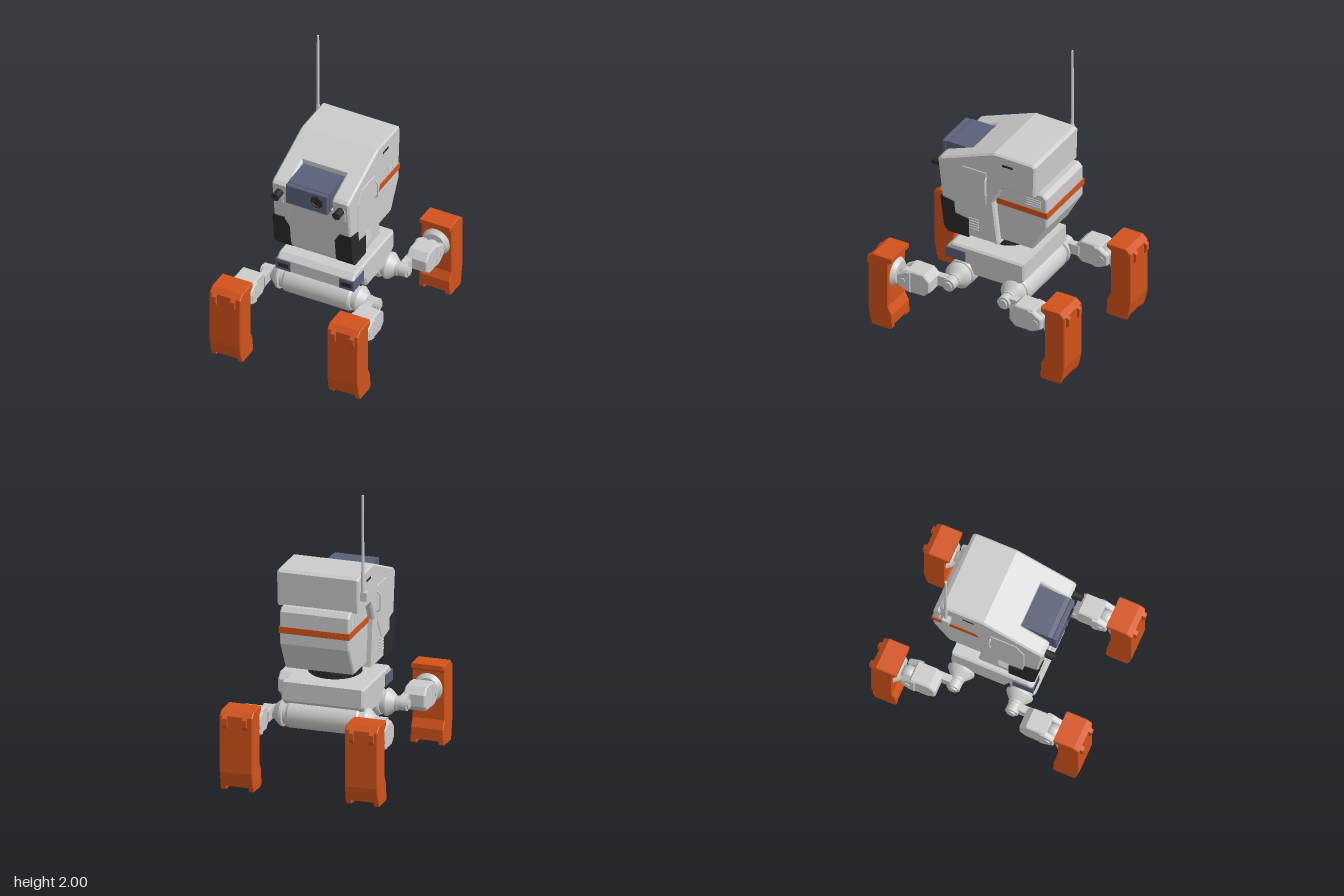
import * as THREE from 'three';

const mat = (color) => new THREE.MeshStandardMaterial({ color });
const GREY = mat(0xcccccc), ORANGE = mat(0xd2521a), BLUE = mat(0x5a6078), BLACK = mat(0x2a2a2a);

function add(parent, name, geometry, material = GREY, x = 0, y = 0, z = 0) {
  const mesh = new THREE.Mesh(geometry, material);
  mesh.name = name;
  mesh.position.set(x, y, z);
  parent.add(mesh);
  return mesh;
}
const box = (w, h, d) => new THREE.BoxGeometry(w, h, d);
const cylX = (r, len, n = 28) => new THREE.CylinderGeometry(r, r, len, n).rotateZ(Math.PI / 2);
const cylZ = (r, len, n = 28) => new THREE.CylinderGeometry(r, r, len, n).rotateX(Math.PI / 2);

// Side profile of [z, y] points, extruded across from x0 to x1 with a small chamfer
function slab(points, x0, x1, b = 0) {
  const shape = new THREE.Shape(points.map(([z, y]) => new THREE.Vector2(z, y)));
  return new THREE.ExtrudeGeometry(shape, {
    depth: x1 - x0 - 2 * b, bevelEnabled: b > 0, bevelThickness: b, bevelSize: b, bevelOffset: -b, bevelSegments: 1,
  }).rotateY(-Math.PI / 2).translate(x1 - b, 0, 0);
}

function createHead() {
  const head = new THREE.Group();
  head.name = 'head';
  const back = [[0.29, 0.73], [-0.09, 0.73], [-0.05, 1.05], [-0.11, 1.17], [-0.13, 1.185], [-0.36, 1.19],
    [-0.367, 1.42], [-0.345, 1.437], [-0.055, 1.44]];
  const sideProfile = [[0.31, 0.76], ...back, [0.35, 1.278], [0.37, 1.26]];
  // the middle is notched for the camera
  add(head, 'headCentre', slab([[0.31, 0.76], ...back, [0.16, 1.354], [0.16, 1.18], [0.36, 1.18]], -0.172, 0.172));

  // camera: housing with a round opening in its front frame
  add(head, 'cameraHousing', slab([[0.15, 1.17], [0.38, 1.17], [0.38, 1.315], [0.35, 1.32], [0.15, 1.32]], -0.155, 0.15), BLUE);
  const frame = new THREE.Shape([[-0.155, 1.165], [0.15, 1.165], [0.15, 1.315], [-0.155, 1.315]].map((p) => new THREE.Vector2(...p)));
  frame.holes.push(new THREE.Path().absarc(0.07, 1.245, 0.043, 0, Math.PI * 2, true));
  add(head, 'cameraFrame', new THREE.ExtrudeGeometry(frame, {
    depth: 0.022, bevelThickness: 0.006, bevelSize: 0.006, bevelOffset: -0.006, bevelSegments: 1, curveSegments: 20,
  }), BLUE, 0, 0, 0.385);
  add(head, 'lensRing', new THREE.TorusGeometry(0.04, 0.007, 8, 28), BLACK, 0.07, 1.245, 0.408);
  add(head, 'lens', cylZ(0.04, 0.02), BLACK, 0.07, 1.245, 0.385);

  for (const s of [-1, 1]) {
    const span = (a, b) => (s > 0 ? [a, b] : [-b, -a]);
    add(head, 'headSide', slab(sideProfile, ...span(0.16, 0.283), 0.012));
    add(head, 'sidePanel', slab([[0.24, 0.885], [0.085, 0.885], [0, 1.02], [0, 1.27], [0.18, 1.27], [0.24, 1.18]],
      ...span(0.27, 0.288), 0.004));

    // dark corner guard, its inner top corner cut off
    const guard = slab([[0.343, 0.985], [0.24, 0.965], [0.23, 0.88], [0.13, 0.865], [0.13, 0.725], [0.287, 0.725],
      [0.316, 0.76], [0.336, 0.92]], ...span(0.165, 0.29));
    const p = guard.attributes.position;
    for (let i = 0; i < p.count; i++) {
      if (Math.abs(p.getX(i)) < 0.2) p.setX(i, s * (0.165 + Math.max(0, p.getY(i) - 0.92) * 0.6));
    }
    guard.computeVertexNormals();
    add(head, 'cornerGuard', guard, BLACK);

    // lamp on a tilted pill-shaped mount
    const mount = add(head, 'lampMount', new THREE.CapsuleGeometry(0.03, 0.075, 6, 16).scale(1, 1, 0.25), GREY, s * 0.23, 1.155, 0.358);
    mount.rotation.x = 0.117;
    add(head, 'lamp', cylZ(0.027, 0.08, 20), BLACK, s * 0.225, 1.198, 0.39);
    add(head, 'lampRim', new THREE.TorusGeometry(0.024, 0.005, 6, 20), BLACK, s * 0.225, 1.198, 0.43);

    // grab handle
    const path = new THREE.CatmullRomCurve3([[0.28, 1.09], [0.303, 1.105], [0.308, 1.16], [0.303, 1.215], [0.28, 1.23]]
      .map(([x, y]) => new THREE.Vector3(s * x, y, 0)));
    add(head, 'handle', new THREE.TubeGeometry(path, 20, 0.006, 8));

    // vents and slot
    for (let i = 0; i < 5; i++) add(head, 'sideVent', box(0.008, 0.009, 0.075), GREY, s * 0.284, 0.795 + i * 0.02, 0.093);
    add(head, 'sideSlot', box(0.006, 0.016, 0.078), BLACK, s * 0.282, 1.367, -0.16);
    for (let i = 0; i < 4; i++) {
      for (const z of [-0.305, -0.363]) add(head, 'packVent', box(0.008, 0.01, 0.05), GREY, s * 0.241, 1.095 + i * 0.017, z);
    }
  }

  // rear pack with its coloured band
  add(head, 'rearPack', slab([[-0.05, 0.75], [-0.32, 0.75], [-0.43, 0.95], [-0.43, 1.17], [-0.4, 1.2], [-0.05, 1.18]], -0.24, 0.24, 0.01));
  add(head, 'packBand', slab([[-0.055, 1.03], [-0.437, 1.025], [-0.437, 1.068], [-0.055, 1.072]], -0.245, 0.245), ORANGE);

  // aerial
  add(head, 'aerialBracket', box(0.05, 0.06, 0.05), GREY, -0.303, 1.3, -0.305);
  add(head, 'aerialBase', new THREE.CylinderGeometry(0.011, 0.015, 0.2, 14), GREY, -0.297, 1.37, -0.315);
  add(head, 'aerial', new THREE.CylinderGeometry(0.008, 0.01, 0.54, 12), GREY, -0.297, 1.73, -0.315);
  return head;
}

function createBase() {
  const base = new THREE.Group();
  base.name = 'base';
  // turntable with teeth round its rim
  for (const [r, h, y] of [[0.115, 0.12, 0.68], [0.168, 0.05, 0.675], [0.178, 0.018, 0.706]]) {
    add(base, 'turntable', new THREE.CylinderGeometry(r, r, h, 40), BLACK, 0, y, -0.015);
  }
  for (let i = 0; i < 20; i++) {
    const a = (i / 20) * Math.PI * 2;
    const tooth = add(base, 'turntableTooth', box(0.03, 0.035, 0.024), BLACK, 0.167 * Math.sin(a), 0.675, -0.015 + 0.167 * Math.cos(a));
    tooth.rotation.y = a;
  }
  add(base, 'chassis', slab([[0.26, 0.632], [0.298, 0.6], [0.298, 0.515], [0.13, 0.5], [0.1, 0.43], [-0.19, 0.43],
    [-0.28, 0.505], [-0.28, 0.632]], -0.283, 0.283, 0.012));
  for (const s of [-1, 1]) {
    add(base, 'headlightBlock', box(0.11, 0.075, 0.148), BLUE, s * 0.234, 0.556, 0.23);
    add(base, 'headlightSlot', box(0.08, 0.03, 0.006), BLACK, s * 0.232, 0.556, 0.304);
  }
  // hip rollers, turned about x
  const half = [[0.095, 0.235], [0.086, 0.25], [0.078, 0.252], [0.078, 0.275], [0.093, 0.28], [0.093, 0.295],
    [0.08, 0.312], [0.05, 0.345], [0.05, 0.36], [0, 0.36]];
  const profile = [...half.map(([r, x]) => [r, -x]).reverse(), ...half].map((q) => new THREE.Vector2(...q));
  for (const z of [-0.208, 0.208]) {
    const geo = new THREE.LatheGeometry(profile, 36).rotateZ(-Math.PI / 2).toNonIndexed();
    const roller = add(base, 'hipRoller', geo, GREY, 0, 0.395, z);
    roller.geometry = creased(geo);
  }
  return base;
}

// Lathe surface with flat bands along its axis but round about it
function creased(geo) {
  const p = geo.attributes.position, n = geo.attributes.normal;
  const a = new THREE.Vector3(), b = new THREE.Vector3(), c = new THREE.Vector3();
  for (let i = 0; i < p.count; i += 3) {
    a.fromBufferAttribute(p, i); b.fromBufferAttribute(p, i + 1); c.fromBufferAttribute(p, i + 2);
    const f = b.clone().sub(a).cross(c.clone().sub(a)).normalize();
    const radial = Math.hypot(f.y, f.z);
    [a, b, c].forEach((v, k) => {
      const r = Math.hypot(v.y, v.z);
      if (r > 1e-5) n.setXYZ(i + k, f.x, (v.y / r) * radial, (v.z / r) * radial);
      else n.setXYZ(i + k, f.x, f.y, f.z);
    });
  }
  return geo;
}

// Front left leg; the others are mirrored from it
function createLeg() {
  const leg = new THREE.Group();
  leg.name = 'leg';
  add(leg, 'shoulderPivot', cylX(0.045, 0.09), GREY, 0.38, 0.395, 0.208);
  add(leg, 'shoulderCap', cylX(0.03, 0.02), GREY, 0.427, 0.395, 0.208);
  add(leg, 'shoulderLink', box(0.05, 0.075, 0.13), GREY, 0.378, 0.392, 0.265);
  add(leg, 'arm', slab([[0.3, 0.43], [0.345, 0.475], [0.475, 0.475], [0.485, 0.46], [0.485, 0.325], [0.475, 0.31],
    [0.345, 0.31], [0.3, 0.35]], 0.36, 0.51, 0.008));
  for (const x of [0.348, 0.472]) {
    add(leg, 'ankleFork', slab([[0.44, 0.47], [0.48, 0.465], [0.545, 0.425], [0.545, 0.35], [0.48, 0.315], [0.44, 0.31]],
      x, x + 0.044, 0.008));
  }
  add(leg, 'anklePin', cylX(0.022, 0.18, 16), GREY, 0.432, 0.388, 0.5);
  add(leg, 'ankleBall', new THREE.SphereGeometry(0.055, 28, 18), GREY, 0.432, 0.385, 0.515);
  add(leg, 'ankleCup', new THREE.CylinderGeometry(0.1, 0.075, 0.03, 32).rotateX(Math.PI / 2), GREY, 0.432, 0.385, 0.574);

  // foot block, toe pads and clips
  add(leg, 'foot', slab([[0.705, 0.552], [0.56, 0.552], [0.56, 0.52], [0.59, 0.5], [0.59, 0.17], [0.56, 0.11], [0.56, 0.03],
    [0.722, 0.03], [0.742, 0.13], [0.742, 0.52]], 0.32, 0.547, 0.006), ORANGE);
  for (const x of [0.32, 0.513]) {
    add(leg, 'toePad', slab([[0.56, 0.05], [0.56, 0.01], [0.575, 0], [0.708, 0], [0.725, 0.05]], x, x + 0.034), ORANGE);
  }
  for (const x of [0.354, 0.492]) {
    add(leg, 'footClip', slab([[0.73, 0.53], [0.762, 0.505], [0.762, 0.46], [0.74, 0.43], [0.73, 0.43]], x, x + 0.032), ORANGE);
  }
  return leg;
}

export function createModel() {
  const model = new THREE.Group();
  model.name = 'walkerRobot';
  model.add(createHead(), createBase());
  for (const sx of [-1, 1]) {
    for (const sz of [-1, 1]) {
      const leg = createLeg();
      leg.name = (sz > 0 ? 'front' : 'back') + (sx > 0 ? 'Left' : 'Right') + 'Leg';
      leg.scale.set(sx, 1, sz);
      model.add(leg);
    }
  }
  return model;
}
